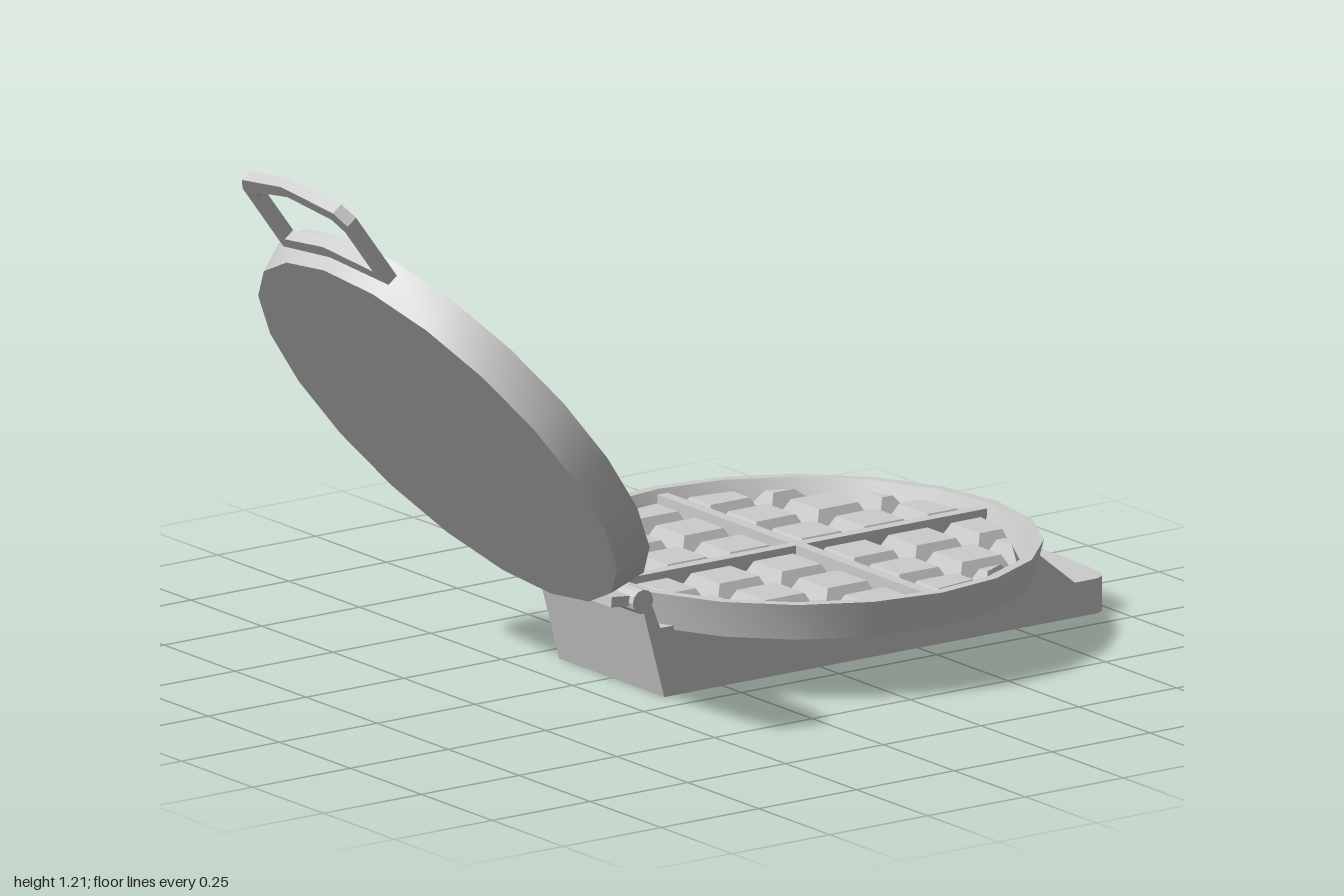
import * as THREE from 'three';
import { mergeGeometries, toCreasedNormals } from 'three/addons/utils/BufferGeometryUtils.js';
import { ConvexGeometry } from 'three/addons/geometries/ConvexGeometry.js';

const SIDES = 20;
const grey = new THREE.MeshStandardMaterial({ color: 0xcccccc });

function part(name, geometry, parent) {
  const mesh = new THREE.Mesh(toCreasedNormals(geometry, 0.5), grey);
  mesh.name = name;
  parent.add(mesh);
  return mesh;
}

function box(name, size, pos, parent) {
  const mesh = part(name, new THREE.BoxGeometry(...size), parent);
  mesh.position.set(...pos);
  return mesh;
}

const polygon = pts => new THREE.Shape(pts.map(p => new THREE.Vector2(...p)));

// Square cell cut to the round outline of the plate
function clippedSquare(cx, cz, half, radius) {
  let pts = [[-1, -1], [1, -1], [1, 1], [-1, 1]].map(([a, b]) => [cx + a * half, cz + b * half]);
  for (let k = 0; k < SIDES; k++) {
    const a = (k + 0.5) * 2 * Math.PI / SIDES;
    const dist = p => p[0] * Math.cos(a) + p[1] * Math.sin(a) - radius * Math.cos(Math.PI / SIDES);
    const out = [];
    pts.forEach((p, i) => {
      const q = pts[(i + 1) % pts.length], dp = dist(p), dq = dist(q);
      if (dp <= 0) out.push(p);
      if (dp * dq < 0) {
        const t = dp / (dp - dq);
        out.push([p[0] + (q[0] - p[0]) * t, p[1] + (q[1] - p[1]) * t]);
      }
    });
    pts = out;
  }
  return pts;
}

// Round dish with tapered pegs and a dividing cross, opening upwards
function makePlate(name) {
  const plate = new THREE.Group();
  plate.name = name;
  const profile = [[0, 0], [0.49, 0], [0.51, 0.08], [0.487, 0.08], [0.467, 0.03], [0, 0.03]];
  part('dish', new THREE.LatheGeometry(profile.map(p => new THREE.Vector2(...p)), SIDES), plate);

  const pegs = [];
  const centres = [-0.413, -0.252, -0.092, 0.092, 0.252, 0.413];
  for (const x of centres) for (const z of centres) {
    const base = clippedSquare(x, z, 0.069, 0.464);
    const top = clippedSquare(x, z, 0.05, 0.445);
    if (base.length < 3 || top.length < 3) continue;
    pegs.push(new ConvexGeometry([
      ...base.map(p => new THREE.Vector3(p[0], 0.028, p[1])),
      ...top.map(p => new THREE.Vector3(p[0], 0.066, p[1])),
    ]));
  }
  part('pegs', mergeGeometries(pegs), plate);

  box('dividerAcross', [0.95, 0.044, 0.026], [0, 0.05, 0], plate);
  box('dividerAlong', [0.026, 0.044, 0.95], [0, 0.05, 0], plate);
  return plate;
}

export function createModel() {
  const model = new THREE.Group();
  model.name = 'waffleIron';

  // Lower cooking plate
  const lower = makePlate('lowerPlate');
  lower.position.set(0, 0.14, -0.325);
  model.add(lower);

  // Opened lid
  const lid = makePlate('lid');
  lid.position.set(0, 0.6, 0.595);
  lid.rotation.x = -0.935;
  model.add(lid);

  // Lid handle: faceted loop lying in the lid plane
  const loop = (bottom, side, shoulder, corner, top) => [
    [-side, bottom], [0, bottom + 0.025], [side, bottom], [side, shoulder],
    [corner[0], corner[1]], [0, top], [-corner[0], corner[1]], [-side, shoulder]];
  const handleShape = polygon(loop(0.476, 0.185, 0.652, [0.16, 0.685], 0.714));
  handleShape.holes.push(polygon(loop(0.507, 0.155, 0.625, [0.133, 0.656], 0.683)));
  const handleGeo = new THREE.ExtrudeGeometry(handleShape, { depth: 0.027, bevelEnabled: false });
  handleGeo.rotateX(Math.PI / 2);
  part('handle', handleGeo, lid).position.y = 0.055;

  // Hinge barrel and the leaf that joins it to the lid
  const barrel = part('hingeBarrel', new THREE.CylinderGeometry(0.026, 0.026, 0.4, 12), model);
  barrel.rotation.z = Math.PI / 2;
  barrel.position.set(0, 0.218, 0.215);
  const leaf = box('hingeLeaf', [0.37, 0.022, 0.07], [0, 0.222, 0.25], model);
  leaf.rotation.x = -0.1;

  // Base body, side profile as [-z, y]
  const body = polygon([[-0.15, 0], [0.9, 0], [0.9, 0.075], [0.79, 0.165],
    [0.78, 0.15], [-0.16, 0.15], [-0.18, 0.2], [-0.205, 0.2]]);
  const bodyGeo = new THREE.ExtrudeGeometry(body, { depth: 0.37, bevelEnabled: false });
  bodyGeo.rotateY(Math.PI / 2);
  part('base', bodyGeo, model).position.x = -0.185;

  // Rounded foot at the control end, plan as [x, -z]
  const foot = new THREE.Shape();
  foot.moveTo(-0.185, 0.9);
  foot.lineTo(0.185, 0.9);
  foot.lineTo(0.185, 0.95);
  foot.quadraticCurveTo(0.182, 0.988, 0.135, 0.993);
  foot.quadraticCurveTo(0, 1.007, -0.135, 0.993);
  foot.quadraticCurveTo(-0.182, 0.988, -0.185, 0.95);
  const footGeo = new THREE.ExtrudeGeometry(foot, { depth: 0.075, bevelEnabled: false, curveSegments: 6 });
  footGeo.rotateX(-Math.PI / 2);
  part('foot', footGeo, model);

  // Slider control on the slope
  const control = new THREE.Group();
  control.name = 'sliderControl';
  control.position.set(0, 0.108, -0.86);
  control.rotation.x = -0.685;
  model.add(control);
  box('sliderTrack', [0.27, 0.008, 0.012], [0, 0.003, 0], control);
  box('sliderStem', [0.03, 0.03, 0.02], [0, 0.012, 0], control);
  box('sliderKnob', [0.06, 0.018, 0.055], [0, 0.032, -0.008], control);

  return model;
}
